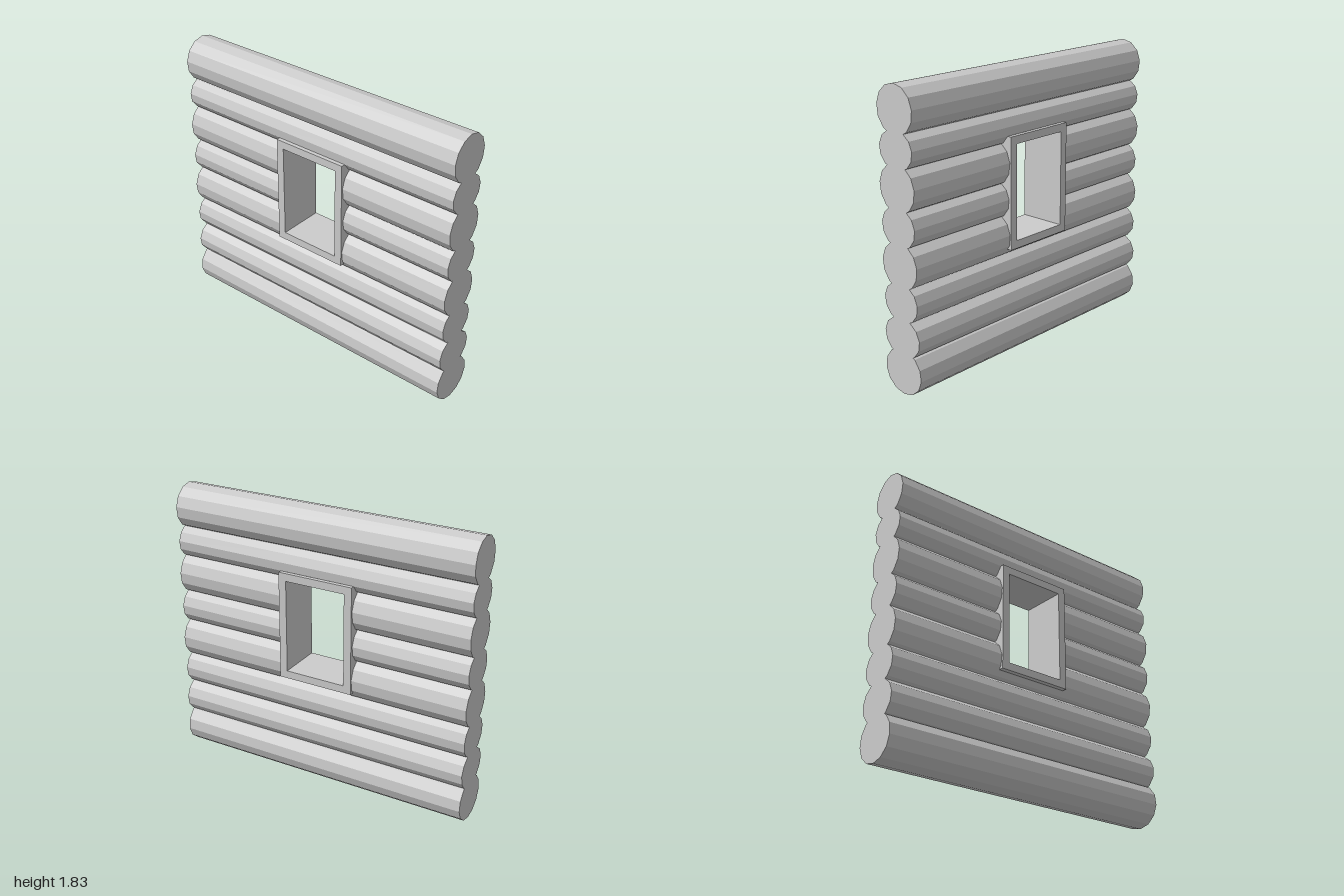
import * as THREE from 'three';

const material = new THREE.MeshStandardMaterial({ color: 0xcccccc, flatShading: true });
const SIDES = 13;

// Logs from bottom to top: centre height, half width, half height
const LOGS = [
  { y: 0.146, rx: 0.15, ry: 0.143, flip: true },
  { y: 0.36, rx: 0.145, ry: 0.126 },
  { y: 0.574, rx: 0.137, ry: 0.124 },
  { y: 0.795, rx: 0.143, ry: 0.145, cut: 'sill' },
  { y: 1.02, rx: 0.135, ry: 0.125, cut: 'through' },
  { y: 1.245, rx: 0.142, ry: 0.146, cut: 'through' },
  { y: 1.462, rx: 0.133, ry: 0.117, cut: 'lintel' },
  { y: 1.684, rx: 0.142, ry: 0.145 },
];

// Faceted log between z0 and z1, optionally planed flat at minY or maxY
function addLog(group, name, log, z0, z1, minY = -Infinity, maxY = Infinity) {
  const points = [];
  for (let i = 0; i < SIDES; i++) {
    const a = (i / SIDES) * Math.PI * 2;
    const y = log.y + Math.cos(a) * log.ry * (log.flip ? -1 : 1);
    points.push(new THREE.Vector2(Math.sin(a) * log.rx, THREE.MathUtils.clamp(y, minY, maxY)));
  }
  const geometry = new THREE.ExtrudeGeometry(new THREE.Shape(points), {
    depth: z1 - z0, bevelEnabled: false,
  });
  geometry.translate(0, 0, z0);
  const mesh = new THREE.Mesh(geometry, material);
  mesh.name = name;
  group.add(mesh);
}

function rectangle(PathType, halfWidth, y0, y1) {
  return new PathType([
    new THREE.Vector2(-halfWidth, y0), new THREE.Vector2(halfWidth, y0),
    new THREE.Vector2(halfWidth, y1), new THREE.Vector2(-halfWidth, y1),
  ]);
}

export function createModel() {
  const model = new THREE.Group();
  model.name = 'logWallWithWindow';

  // Stacked logs, interrupted where the window passes through
  const logs = new THREE.Group();
  logs.name = 'logs';
  const gap = 0.23;
  LOGS.forEach((log, i) => {
    const name = `log${i + 1}`;
    if (!log.cut) {
      addLog(logs, name, log, -1, 1);
      return;
    }
    addLog(logs, `${name}Back`, log, -1, -gap);
    addLog(logs, `${name}Front`, log, gap, 1);
    if (log.cut === 'sill') addLog(logs, `${name}Sill`, log, -gap, gap, -Infinity, 0.745);
    if (log.cut === 'lintel') addLog(logs, `${name}Lintel`, log, -gap, gap, 1.395);
  });
  model.add(logs);

  // Window frame, open through the wall
  const shape = rectangle(THREE.Shape, 0.25, 0.72, 1.42);
  shape.holes.push(rectangle(THREE.Path, 0.2, 0.77, 1.37));
  const frameGeometry = new THREE.ExtrudeGeometry(shape, { depth: 0.3, bevelEnabled: false });
  frameGeometry.translate(0, 0, -0.15).rotateY(Math.PI / 2);
  const frame = new THREE.Mesh(frameGeometry, material);
  frame.name = 'windowFrame';
  model.add(frame);

  return model;
}
